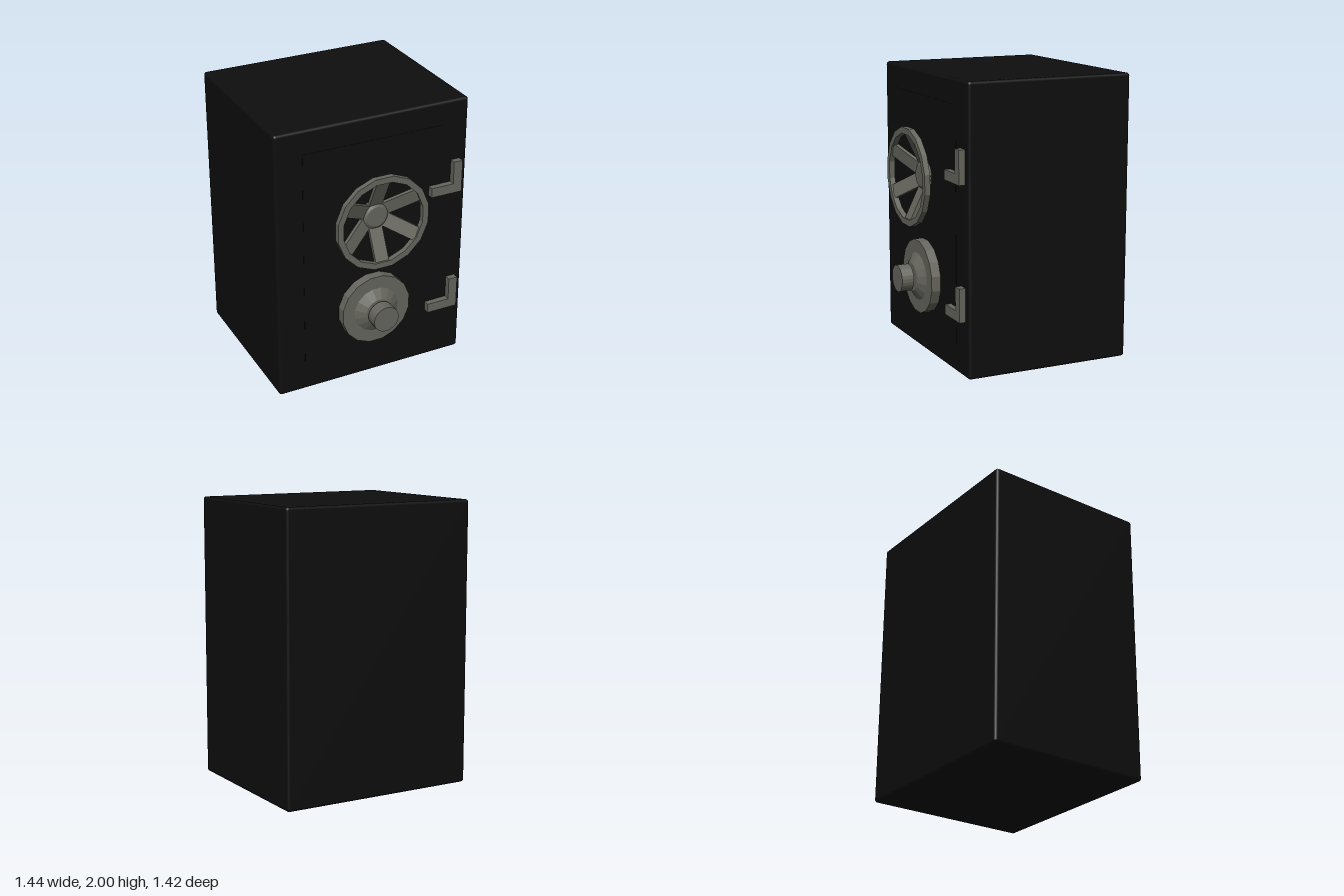
import * as THREE from 'three';
import { RoundedBoxGeometry } from 'three/addons/geometries/RoundedBoxGeometry.js';

export function createModel() {
  const safe = new THREE.Group();
  safe.name = 'safe';
  const black = new THREE.MeshStandardMaterial({ color: 0x0e0e0e });
  const metal = new THREE.MeshStandardMaterial({ color: 0x66665e, flatShading: true });

  const add = (parent, name, geometry, material, x = 0, y = 0, z = 0) => {
    const mesh = new THREE.Mesh(geometry, material);
    mesh.name = name;
    mesh.position.set(x, y, z);
    parent.add(mesh);
    return mesh;
  };
  const group = (name, x, y) => {
    const g = new THREE.Group();
    g.name = name;
    g.position.set(x, y, 0);
    safe.add(g);
    return g;
  };
  // Turned part around the z axis from [radius, z] points, a flat side facing up
  const turned = (points, sides) =>
    new THREE.LatheGeometry(points.map(([r, z]) => new THREE.Vector2(r, z)), sides, Math.PI / sides)
      .rotateX(Math.PI / 2);

  // Cabinet and door
  const front = 0.495;
  add(safe, 'cabinet', new RoundedBoxGeometry(1.436, 2, 1.205, 3, 0.02), black, 0, 1, -0.1075);
  add(safe, 'door', new THREE.BoxGeometry(1.04, 1.63, 0.02), black, 0, 1.015, front - 0.008);

  // Handwheel: rim, hub and six sloping spokes
  const wheel = group('handwheel', 0.005, 1.275);
  add(wheel, 'rim', turned([[0.303, 0.605], [0.347, 0.605], [0.347, 0.645], [0.303, 0.645], [0.303, 0.605]], 16), metal);
  add(wheel, 'hub', turned([[0.113, 0.485], [0.113, 0.515], [0.073, 0.54], [0, 0.54]], 24), metal);
  const spokeSide = new THREE.Shape([
    [0.08, 0.495], [0.305, 0.605], [0.305, 0.635], [0.08, 0.525],
  ].map(([r, z]) => new THREE.Vector2(r, z)));
  const spokeGeometry = new THREE.ExtrudeGeometry(spokeSide, { depth: 0.1, bevelEnabled: false })
    .translate(0, 0, -0.05)
    .rotateX(Math.PI / 2);
  for (let i = 0; i < 6; i++) {
    add(wheel, 'spoke', spokeGeometry, metal).rotation.z = Math.PI / 6 + i * Math.PI / 3;
  }

  // Combination dial with a knob standing just off its face
  const dial = group('dial', 0, 0.557);
  add(dial, 'dialPlate', turned([
    [0.263, 0.485], [0.263, 0.564], [0.17, 0.564], [0.1, 0.607], [0, 0.607],
  ], 16), metal);
  add(dial, 'knob', turned([[0, 0.627], [0.095, 0.627], [0.095, 0.715], [0, 0.715]], 24), metal);

  // L-shaped hinges
  const hingeShape = new THREE.Shape([
    [0, 0], [0.235, 0], [0.235, 0.235], [0.168, 0.235], [0.168, 0.07], [0, 0.07],
  ].map(([x, y]) => new THREE.Vector2(x, y)));
  const hingeGeometry = new THREE.ExtrudeGeometry(hingeShape, { depth: 0.055, bevelEnabled: false });
  for (const y of [0.39, 1.32]) add(safe, 'hinge', hingeGeometry, metal, 0.43, y, front - 0.01);

  return safe;
}
